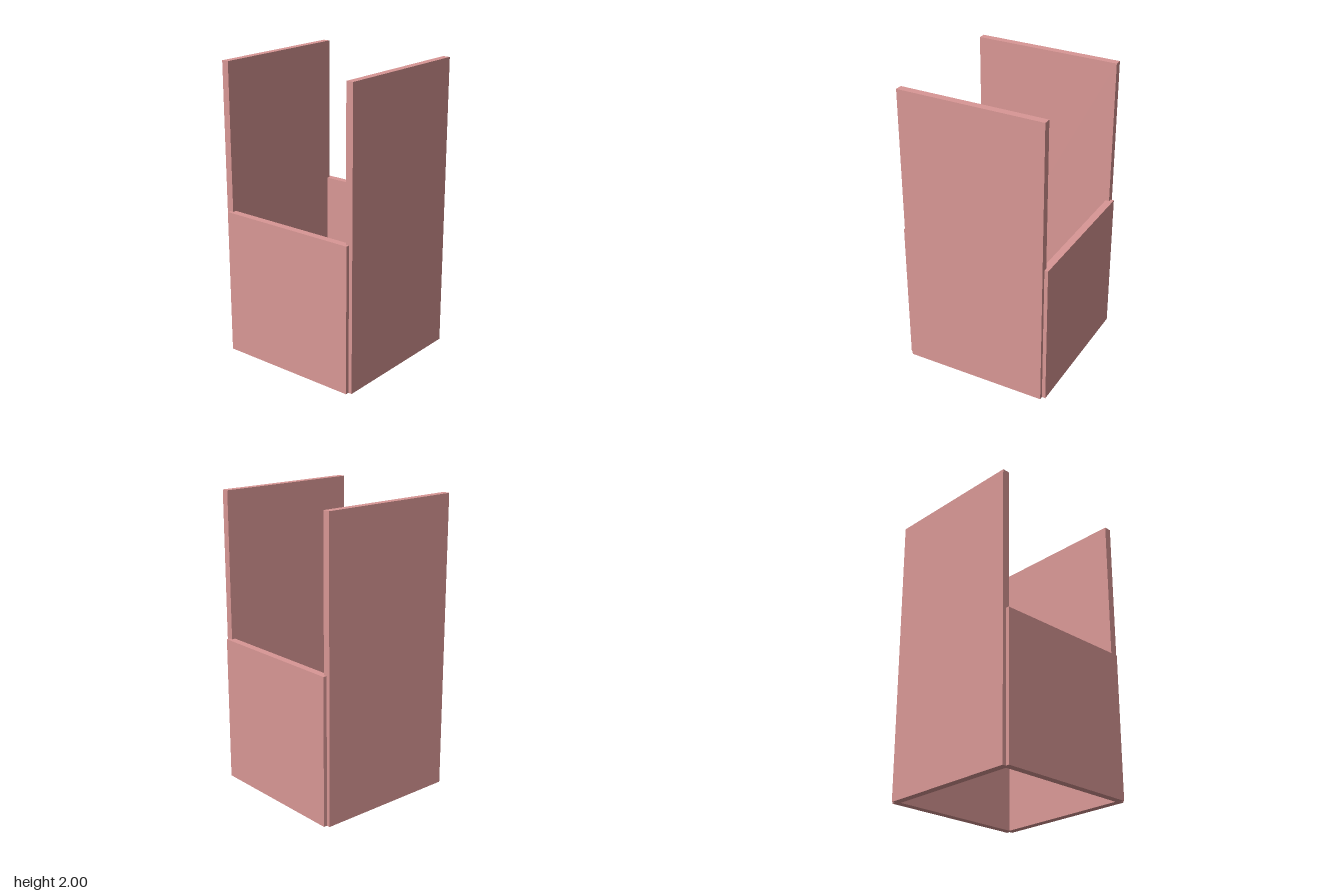
import * as THREE from 'three';

const THICKNESS = 0.05;
const OFFSET = 0.5; // wall centre planes

export function createModel() {
  const model = new THREE.Group();
  model.name = 'openBox';
  const material = new THREE.MeshStandardMaterial({ color: 0xd99795 });

  // A wall standing on the ground
  function addWall(name, width, height, depth, x, z) {
    const wall = new THREE.Mesh(new THREE.BoxGeometry(width, height, depth), material);
    wall.name = name;
    wall.position.set(x, height / 2, z);
    model.add(wall);
  }

  // Tall front and back walls, low side walls
  for (const s of [1, -1]) {
    addWall(s > 0 ? 'frontWall' : 'backWall', 1, 2, THICKNESS, 0, s * OFFSET);
    addWall(s > 0 ? 'leftWall' : 'rightWall', THICKNESS, 1, 1, s * OFFSET, 0);
  }
  return model;
}
